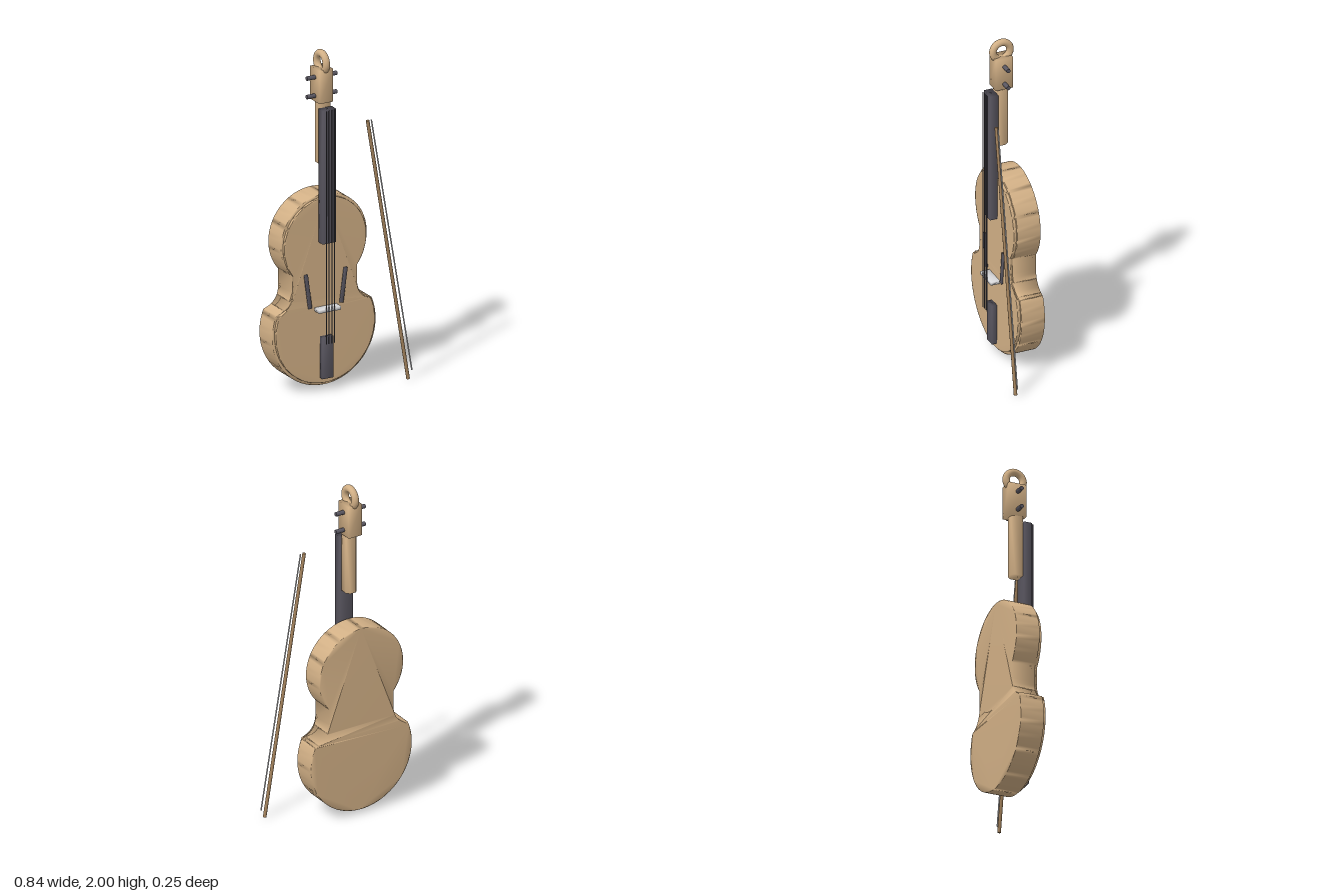
import * as THREE from 'three';
import { mergeVertices } from 'three/addons/utils/BufferGeometryUtils.js';

const material = (name, color) => {
  const m = new THREE.MeshStandardMaterial({ color });
  m.name = name;
  return m;
};

// Weld the corners so that shading flows softly over the edges
function soften(geometry) {
  geometry.deleteAttribute('normal');
  geometry.deleteAttribute('uv');
  const g = mergeVertices(geometry, 1e-4);
  g.computeVertexNormals();
  return g;
}

// Waisted body outline, counter-clockwise: upper bout, waist, lower bout, waist
function bodyOutline() {
  const upY = 0.88, upR = 0.275, upA = 0.69;
  const lowY = 0.357, lowR = 0.332, lowA = 0.396;
  const waistX = upR * Math.cos(upA);
  const cornerX = lowR * Math.cos(lowA), cornerY = lowY + lowR * Math.sin(lowA);
  const s = new THREE.Shape();
  s.absarc(0, upY, upR, -upA, Math.PI + upA, false);
  s.lineTo(-waistX, 0.61);
  s.quadraticCurveTo(-waistX, 0.51, -cornerX, cornerY);
  s.absarc(0, lowY, lowR, Math.PI - lowA, Math.PI * 2 + lowA, false);
  s.quadraticCurveTo(waistX, 0.51, waistX, 0.61);
  return s;
}

export function createModel() {
  const wood = material('wood', 0xd2b086);
  const ebony = material('ebony', 0x5a5761);
  const pale = material('pale', 0xd8d8da);
  const bowWood = material('bowWood', 0xa3825c);

  const model = new THREE.Group();
  const violin = new THREE.Group();
  violin.name = 'violin';
  violin.position.x = -0.09;
  const bow = new THREE.Group();
  bow.name = 'bow';
  model.add(violin, bow);

  const add = (parent, name, geometry, mat, x = 0, y = 0, z = 0) => {
    const mesh = new THREE.Mesh(geometry, mat);
    mesh.name = name;
    mesh.position.set(x, y, z);
    parent.add(mesh);
    return mesh;
  };
  const box = (w, h, d) => soften(new THREE.BoxGeometry(w, h, d));
  const rod = (name, a, b, r, mat) => {
    const dir = b.clone().sub(a);
    const mesh = add(bow, name, new THREE.CylinderGeometry(r, r, dir.length(), 12), mat);
    mesh.position.copy(a).add(b).multiplyScalar(0.5);
    mesh.quaternion.setFromUnitVectors(new THREE.Vector3(0, 1, 0), dir.normalize());
  };

  // Body and the slightly smaller front plate
  const extrude = (shape, depth) => new THREE.ExtrudeGeometry(shape, { depth, bevelEnabled: false, curveSegments: 32 });
  add(violin, 'body', soften(extrude(bodyOutline(), 0.14)), wood, 0, 0, -0.13);
  const plate = extrude(bodyOutline(), 0.017);
  plate.translate(0, -0.59, 0).scale(0.954, 0.971, 1);
  add(violin, 'frontPlate', soften(plate), wood, 0, 0.59, 0.01);

  // Slanted sound holes
  for (const side of [-1, 1]) {
    const hole = add(violin, side < 0 ? 'soundHoleRight' : 'soundHoleLeft', box(0.022, 0.206, 0.014), ebony, side * 0.114, 0.6, 0.029);
    hole.rotation.z = -side * 0.135;
  }

  // Fingerboard, tailpiece and bridge
  add(violin, 'fingerboard', box(0.086, 0.79, 0.05), ebony, 0, 1.275, 0.048);
  add(violin, 'tailpiece', box(0.07, 0.245, 0.034), ebony, 0, 0.198, 0.041);
  add(violin, 'bridge', box(0.14, 0.02, 0.055), pale, 0, 0.487, 0.053);

  // Strings
  for (let i = 0; i < 4; i++) {
    add(violin, 'string' + (i + 1), new THREE.CylinderGeometry(0.003, 0.003, 1.38, 8), ebony, (i - 1.5) * 0.018, 0.98, 0.084);
  }

  // Neck with a chamfered back
  const neck = new THREE.Shape([
    [-0.036, -0.02], [0.036, -0.02], [0.036, 0.026], [0.018, 0.047], [-0.018, 0.047], [-0.036, 0.026],
  ].map(([x, y]) => new THREE.Vector2(x, y)));
  const neckGeometry = extrude(neck, 0.37);
  neckGeometry.rotateX(-Math.PI / 2);
  add(violin, 'neck', soften(neckGeometry), wood, 0, 1.34, 0);

  // Pegbox, pegs and ring-shaped scroll
  add(violin, 'pegbox', box(0.086, 0.195, 0.105), wood, 0, 1.798, -0.015);
  for (const y of [1.735, 1.845]) {
    const peg = add(violin, 'peg', new THREE.CylinderGeometry(0.0125, 0.0125, 0.192, 12), ebony, 0, y, -0.015);
    peg.rotation.z = Math.PI / 2;
  }
  const scroll = add(violin, 'scroll', new THREE.TorusGeometry(0.052, 0.021, 16, 40), wood, 0, 1.927, -0.015);
  scroll.rotation.y = Math.PI / 2;

  // Bow leaning beside the instrument
  const at = (x, y) => new THREE.Vector3(x, y, 0.115);
  rod('bowStick', at(0.13, 1.58), at(0.39, 0.002), 0.01, bowWood);
  rod('bowHair', at(0.154, 1.58), at(0.414, 0.05), 0.004, pale);

  return model;
}
